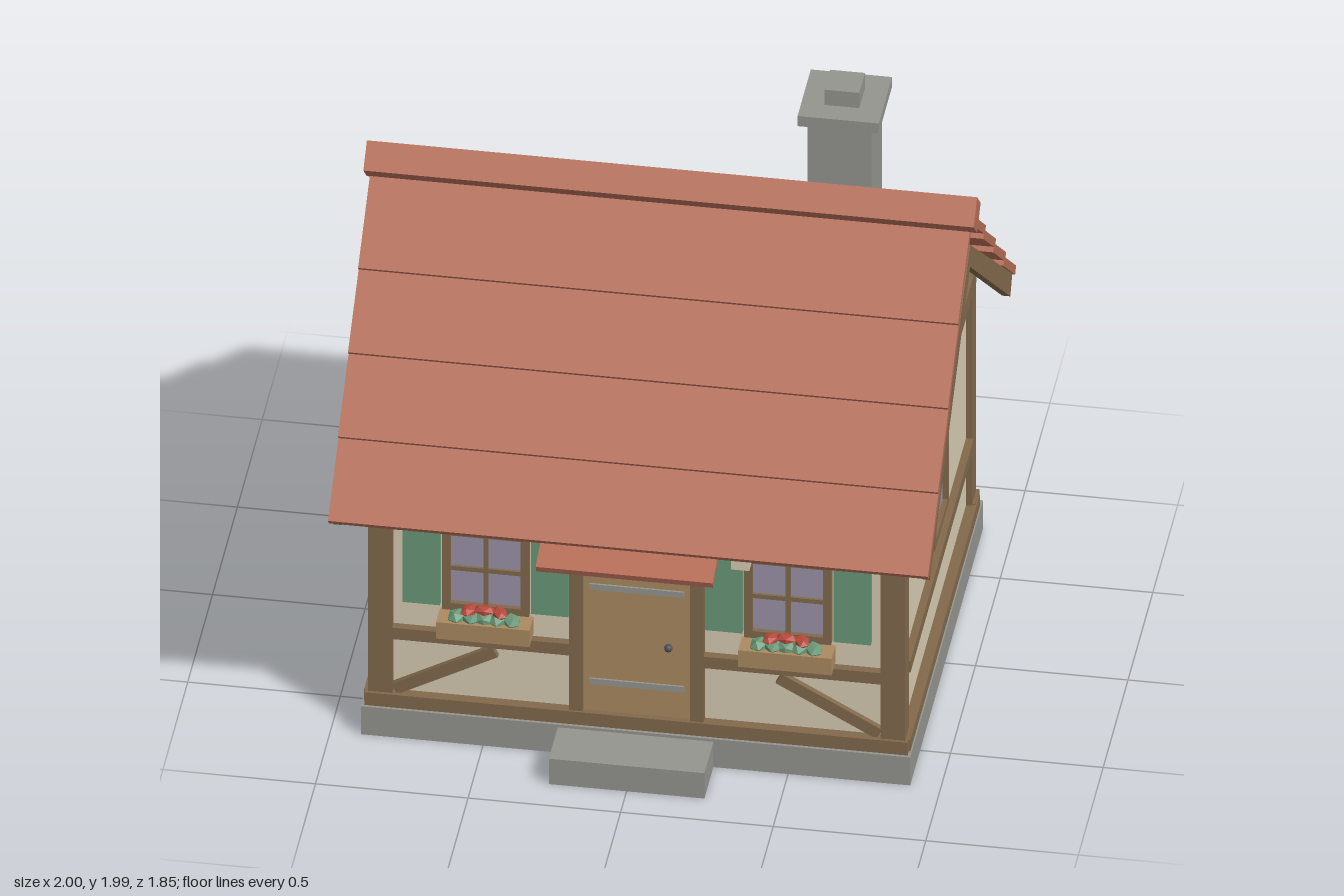
import * as THREE from 'three';

const material = (name, color) => new THREE.MeshStandardMaterial({ name, color });
const plaster = material('plaster', 0xd8cdb4);
const timber = material('timber', 0x82694c);
const stone = material('stone', 0x94948f);
const tile = material('roofTile', 0xb56d57);
const wood = material('lightWood', 0xab8a60);
const green = material('green', 0x6b9a79);
const glass = material('glass', 0x9b93a9);
const iron = material('iron', 0x505058);
const red = material('flowerRed', 0xb5493c);

const SLOPE = THREE.MathUtils.degToRad(40);

function add(parent, name, geometry, mat, x, y, z) {
  const mesh = new THREE.Mesh(geometry, mat);
  mesh.name = name;
  mesh.position.set(x, y, z);
  parent.add(mesh);
  return mesh;
}

// box given by its extents on each axis
function block(parent, name, mat, [x0, x1], [y0, y1], [z0, z1]) {
  return add(parent, name, new THREE.BoxGeometry(x1 - x0, y1 - y0, z1 - z0), mat,
    (x0 + x1) / 2, (y0 + y1) / 2, (z0 + z1) / 2);
}

// slanted beam in the plane of a facade, from a to b
function brace(parent, name, a, b, height, z0, z1) {
  const dx = b[0] - a[0], dy = b[1] - a[1];
  const mesh = add(parent, name, new THREE.BoxGeometry(Math.hypot(dx, dy), height, z1 - z0),
    timber, (a[0] + b[0]) / 2, (a[1] + b[1]) / 2, (z0 + z1) / 2);
  mesh.rotation.z = Math.atan2(dy, dx);
}

function group(parent, name, rotationY = 0) {
  const g = new THREE.Group();
  g.name = name;
  g.rotation.y = rotationY;
  parent.add(g);
  return g;
}

// framed window facing +z, standing on the wall plane z
function windowUnit(parent, name, x, y, w, h, z, bars) {
  const g = group(parent, name);
  g.position.set(x, y, z);
  const f = 0.027, d = [-0.01, 0.025], W = w / 2, H = h / 2;
  block(g, 'pane', glass, [-W + f, W - f], [-H + f, H - f], [0, 0.008]);
  for (const s of [-1, 1]) {
    const c = s * (W - f / 2), e = s * (H - f / 2);
    block(g, 'jamb', timber, [c - f / 2, c + f / 2], [-H, H], d);
    block(g, 'frameRail', timber, [-W + f, W - f], [e - f / 2, e + f / 2], d);
  }
  if (bars) {
    block(g, 'verticalBar', timber, [-0.008, 0.008], [-H + f, H - f], [0, 0.018]);
    block(g, 'crossBar', timber, [-W + f, W - f], [-0.008, 0.008], [0, 0.017]);
  }
}

// planter with leaves and blossoms
function flowerBox(parent, x) {
  const g = group(parent, 'flowerBox');
  g.position.set(x, 0, 0);
  block(g, 'planter', wood, [-0.153, 0.153], [0.43, 0.495], [0.69, 0.77]);
  for (let i = -2; i <= 2; i++) {
    const leaf = add(g, 'leaves', new THREE.IcosahedronGeometry(0.035, 0), green, i * 0.045, 0.5, 0.735);
    leaf.scale.set(1, 0.75, 0.9);
    leaf.rotation.y = i;
  }
  for (let i = -1; i <= 1; i++) {
    const bloom = add(g, 'blossom', new THREE.IcosahedronGeometry(0.032, 0), red,
      i * 0.05, 0.535 - 0.005 * Math.abs(i), 0.735);
    bloom.scale.set(1.2, 0.5, 0.8);
    bloom.rotation.y = i * 2;
  }
}

// timber framing shared by the front and back walls
function longFacade(parent, name, angle, gap) {
  const g = group(parent, name, angle);
  block(g, 'sill', timber, [-0.89, 0.89], [0.11, 0.16], [0.64, 0.725]);
  for (const s of [-1, 1]) {
    const span = (a, b) => [Math.min(s * a, s * b), Math.max(s * a, s * b)];
    block(g, 'cornerPost', timber, span(0.8, 0.88), [0.11, 1.0], [0.635, 0.715]);
    block(g, 'midRail', timber, span(gap, 0.8), [0.375, 0.42], [0.66, 0.718]);
    brace(g, 'cornerBrace', [s * 0.795, 0.172], [s * 0.465, 0.355], 0.042, 0.66, 0.71);
    windowUnit(g, 'window', s * 0.495, 0.67, 0.285, 0.32, 0.69, true);
  }
  return g;
}

// timber framing and windows of a gable end
function gableEnd(parent, name, angle) {
  const g = group(parent, name, angle);
  block(g, 'sideSill', timber, [-0.7, 0.7], [0.11, 0.155], [0.82, 0.895]);
  block(g, 'sideRail', timber, [-0.635, 0.635], [0.375, 0.42], [0.82, 0.885]);
  block(g, 'tieBeam', timber, [-0.69, 0.69], [1.0, 1.065], [0.82, 0.885]);
  windowUnit(g, 'sideWindow', 0, 0.668, 0.285, 0.31, 0.86, false);
  windowUnit(g, 'atticWindow', 0, 1.282, 0.19, 0.187, 0.86, false);
  for (const s of [-1, 1]) {
    brace(g, 'gableBrace', [s * 0.51, 1.085], [s * 0.17, 1.35], 0.036, 0.85, 0.88);
  }
  // pair of verge rafters as one mitred board
  const v = new THREE.Shape([[0, 1.635], [-0.85, 0.935], [-0.81, 0.872], [0, 1.548],
    [0.81, 0.872], [0.85, 0.935]].map(([a, b]) => new THREE.Vector2(a, b)));
  add(g, 'vergeRafters', new THREE.ExtrudeGeometry(v, { depth: 0.027, bevelEnabled: false }),
    timber, 0, 0, 0.95);
}

export function createModel() {
  const model = new THREE.Group();
  model.name = 'cottage';
  const house = group(model, 'house');
  house.position.z = -0.035;

  // stone base, step and plastered body
  block(house, 'foundation', stone, [-0.9, 0.9], [0, 0.11], [-0.735, 0.735]);
  block(house, 'doorStep', stone, [-0.255, 0.255], [0, 0.1], [0.735, 0.915]);
  const profile = new THREE.Shape([[-0.69, 0.11], [0.69, 0.11], [0.69, 1.0], [0, 1.58], [-0.69, 1.0]]
    .map(([a, b]) => new THREE.Vector2(a, b)));
  const body = new THREE.ExtrudeGeometry(profile, { depth: 1.72, bevelEnabled: false });
  add(house, 'walls', body.translate(0, 0, -0.86).rotateY(Math.PI / 2), plaster, 0, 0, 0);

  const front = longFacade(house, 'frontWall', 0, 0.22);
  longFacade(house, 'backWall', Math.PI, 0);
  gableEnd(house, 'leftGable', Math.PI / 2);
  gableEnd(house, 'rightGable', -Math.PI / 2);

  // shutters and flower boxes
  for (const s of [-1, 1]) {
    for (const x of [0.285, 0.706]) {
      block(front, 'shutter', green, [s * x - 0.061, s * x + 0.061], [0.52, 0.815], [0.685, 0.71]);
    }
    flowerBox(front, s * 0.495);
  }

  // door with frame, straps and knob
  block(front, 'door', wood, [-0.175, 0.175], [0.16, 0.775], [0.68, 0.705]);
  block(front, 'doorHeader', timber, [-0.175, 0.175], [0.775, 0.828], [0.67, 0.718]);
  for (const s of [-1, 1]) {
    block(front, 'doorPost', timber, [s * 0.198 - 0.022, s * 0.198 + 0.022], [0.16, 1.0], [0.66, 0.718]);
  }
  for (const y of [0.277, 0.65]) {
    block(front, 'hingeStrap', stone, [-0.155, 0.155], [y - 0.011, y + 0.011], [0.7, 0.712]);
  }
  add(front, 'doorKnob', new THREE.SphereGeometry(0.014, 10, 8), iron, 0.105, 0.44, 0.717);

  // small canopy over the door on two struts
  const canopy = block(front, 'canopy', tile, [-0.29, 0.29], [0.893, 0.917], [0.785, 0.965]);
  canopy.rotation.x = 0.33;
  canopy.position.set(0, 0.905, 0.875);
  for (const s of [-1, 1]) {
    const strut = add(front, 'canopyStrut', new THREE.BoxGeometry(0.03, 0.022, 0.17), timber,
      s * 0.243, 0.845, 0.765);
    strut.rotation.x = -0.62;
  }

  // lantern beside the door
  block(front, 'lantern', plaster, [0.325, 0.385], [0.84, 0.905], [0.755, 0.81]);
  block(front, 'lanternArm', iron, [0.35, 0.36], [0.9, 0.912], [0.68, 0.785]);

  // overlapping roof courses on both slopes
  const length = 0.31;
  for (const [name, angle] of [['frontRoof', 0], ['backRoof', Math.PI]]) {
    const slope = group(house, name, angle);
    for (let i = 0; i < 4; i++) {
      const course = add(slope, 'roofCourse', new THREE.BoxGeometry(1.966, 0.03, length), tile, 0,
        0.928 + i * 0.193 + Math.sin(SLOPE) * length / 2,
        0.88 - i * 0.2025 - Math.cos(SLOPE) * length / 2);
      course.rotation.x = SLOPE;
    }
  }
  const ridge = add(house, 'ridge', new THREE.BoxGeometry(2, 0.1, 0.1), tile, 0, 1.755, 0);
  ridge.rotation.x = Math.PI / 4;

  // chimney
  const chimney = group(house, 'chimney');
  chimney.position.set(0.51, 0, -0.345);
  for (const [name, r, y0, y1] of [['stack', 0.105, 1.2, 1.89], ['cap', 0.133, 1.89, 1.93], ['pot', 0.057, 1.93, 1.99]]) {
    block(chimney, name, stone, [-r, r], [y0, y1], [-r, r]);
  }
  return model;
}
